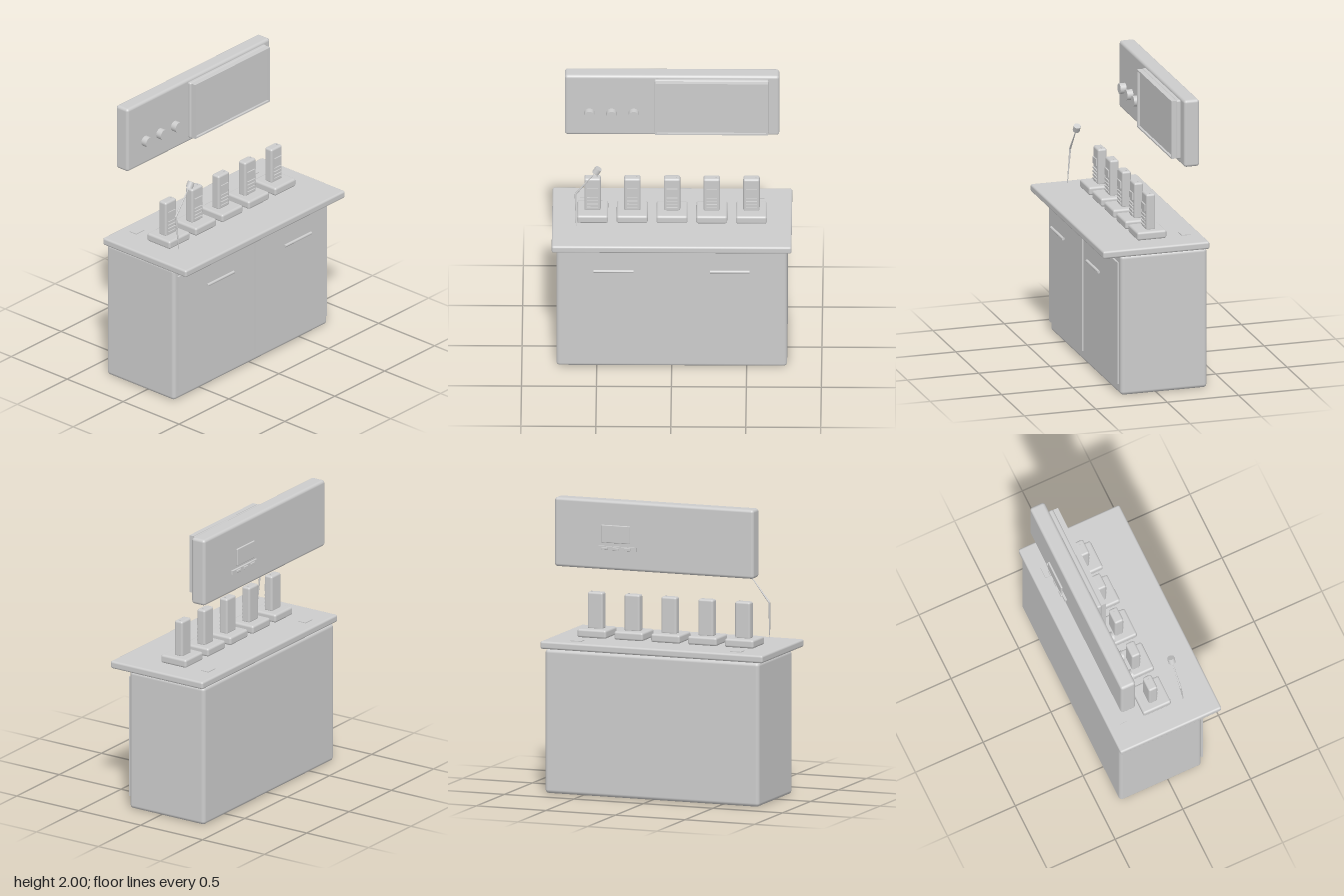
import * as THREE from 'three';
import { RoundedBoxGeometry } from 'three/addons/geometries/RoundedBoxGeometry.js';

export function createModel() {
  const group = new THREE.Group();
  const grey = new THREE.MeshStandardMaterial({ color: 0xcccccc });
  grey.name = 'light grey';

  const add = (name, geometry, x = 0, y = 0, z = 0, parent = group) => {
    const mesh = new THREE.Mesh(geometry, grey);
    mesh.name = name;
    mesh.position.set(x, y, z);
    parent.add(mesh);
    return mesh;
  };
  // Box given by its limits on each axis; r > 0 rounds the edges
  const block = (name, [x0, x1], [y0, y1], [z0, z1], r = 0, parent = group) => {
    const s = [x1 - x0, y1 - y0, z1 - z0];
    const g = r ? new RoundedBoxGeometry(...s, 3, r) : new THREE.BoxGeometry(...s);
    return add(name, g, (x0 + x1) / 2, (y0 + y1) / 2, (z0 + z1) / 2, parent);
  };

  // Cabinet and worktop
  block('cabinet', [-0.77, 0.77], [0, 0.975], [-0.355, 0.25], 0.025);
  block('worktop', [-0.8, 0.8], [0.975, 1.027], [-0.363, 0.383], 0.014);

  // Doors, bar handles and small pads at the back of the worktop
  for (const side of [-1, 1]) {
    const span = (a, b) => (side > 0 ? [a, b] : [-b, -a]);
    block('door', span(0.03, 0.745), [0.075, 0.925], [0.256, 0.268]);
    const handle = add('doorHandle', new THREE.CylinderGeometry(0.01, 0.01, 0.265, 16), side * 0.388, 0.798, 0.325);
    handle.rotation.z = Math.PI / 2;
    block('worktopPad', span(0.535, 0.615), [1.026, 1.032], [-0.285, -0.225]);
  }

  // Upper panel with its screen
  block('wallPanel', [-0.717, 0.714], [1.533, 2], [-0.32, -0.212], 0.02);
  block('screenFrame', [-0.12, 0.645], [1.573, 1.985], [-0.213, -0.18], 0.012);
  block('screen', [-0.105, 0.637], [1.584, 1.972], [-0.181, -0.162]);
  const rim = new THREE.Shape([[-0.113, 1.578], [0.638, 1.578], [0.638, 1.981], [-0.113, 1.981]]
    .map(p => new THREE.Vector2(...p)));
  rim.holes.push(new THREE.Path([[-0.1, 1.588], [-0.1, 1.968], [0.627, 1.968], [0.627, 1.588]]
    .map(p => new THREE.Vector2(...p))));
  add('screenRim', new THREE.ExtrudeGeometry(rim, { depth: 0.035, bevelEnabled: false }), 0, 0, -0.181);

  // Control knobs
  for (const x of [-0.553, -0.405, -0.257]) {
    const knob = add('knob', new THREE.CylinderGeometry(0.036, 0.036, 0.042, 28), x, 1.713, -0.182);
    knob.rotation.x = Math.PI / 2;
  }

  // Plate and button strip behind the panel
  block('rearPlate', [0.16, 0.366], [1.72, 1.84], [-0.35, -0.336], 0.005);
  block('rearStrip', [0.118, 0.406], [1.668, 1.695], [-0.34, -0.325]);
  for (const x of [0.18, 0.262, 0.344]) {
    block('rearButton', [x - 0.022, x + 0.022], [1.672, 1.69], [-0.35, -0.339], 0.003);
  }

  // Row of handsets standing in their chargers
  for (let i = -2; i <= 2; i++) {
    const phone = new THREE.Group();
    phone.name = 'handsetStation';
    phone.position.x = i * 0.265;
    group.add(phone);
    block('chargerBase', [-0.104, 0.104], [1.025, 1.083], [-0.115, 0.09], 0.015, phone);
    block('handset', [-0.055, 0.055], [1.075, 1.327], [-0.052, 0.012], 0.014, phone);
    block('handsetScreen', [-0.036, 0.036], [1.207, 1.255], [0.012, 0.021], 0, phone);
    for (let k = 0; k < 4; k++) {
      const y = 1.178 - k * 0.025;
      block('keyRow', [-0.036, 0.036], [y - 0.006, y + 0.006], [0.012, 0.021], 0, phone);
    }
    add('handsetTip', new THREE.CylinderGeometry(0.005, 0.005, 0.008, 10), 0.03, 1.327, -0.02, phone);
  }

  // Bent microphone stalk and head
  const points = [[-0.637, 1.06, 0.174], [-0.642, 1.3, 0.153], [-0.52, 1.455, 0.153]]
    .map(p => new THREE.Vector3(...p));
  const up = new THREE.Vector3(0, 1, 0);
  for (let i = 0; i < 2; i++) {
    const dir = points[i + 1].clone().sub(points[i]);
    const mid = points[i].clone().addScaledVector(dir, 0.5);
    const radii = i ? [0.003, 0.007] : [0.007, 0.003];
    const stalk = add('microphoneStalk', new THREE.CylinderGeometry(...radii, dir.length(), 10), mid.x, mid.y, mid.z);
    stalk.quaternion.setFromUnitVectors(up, dir.normalize());
  }
  const head = add('microphoneHead', new THREE.CylinderGeometry(0.024, 0.024, 0.043, 20), -0.499, 1.483, 0.153);
  head.rotation.z = -0.55;

  return group;
}
